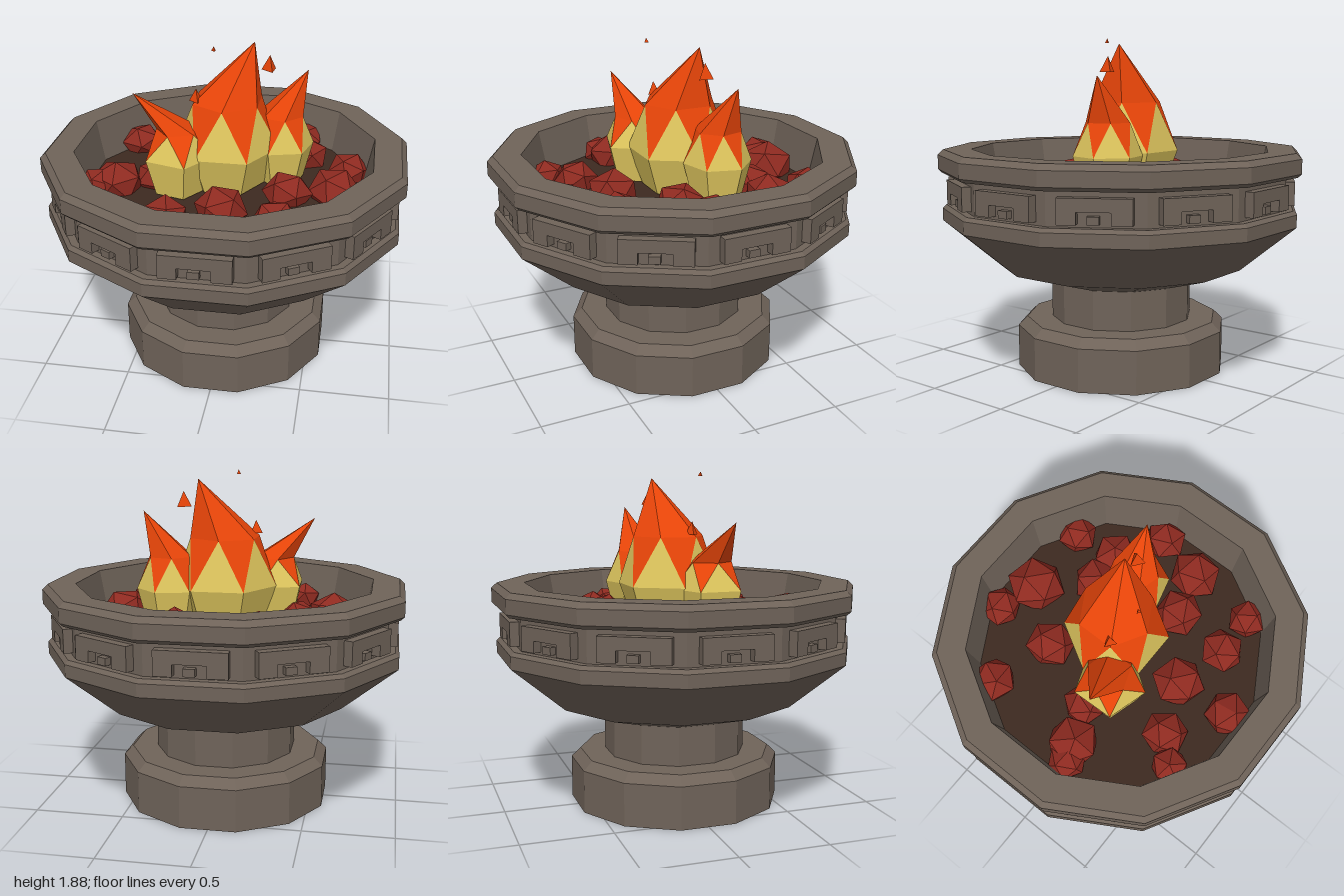
import * as THREE from 'three';

const mat = (name, color) => {
  const m = new THREE.MeshStandardMaterial({ color });
  m.name = name;
  return m;
};

// Facet a geometry so every face gets its own flat normal
function flat(geometry) {
  const g = geometry.index ? geometry.toNonIndexed() : geometry;
  g.computeVertexNormals();
  return g;
}

function add(parent, name, geometry, material) {
  const mesh = new THREE.Mesh(flat(geometry), material);
  mesh.name = name;
  parent.add(mesh);
  return mesh;
}

// Twelve-sided turned solid; radii are measured to the flats
const SIDES = 12;
function turned(profile) {
  const k = 1 / Math.cos(Math.PI / SIDES);
  const points = profile.map(([r, y]) => new THREE.Vector2(r * k, y));
  return new THREE.LatheGeometry(points, SIDES, Math.PI / SIDES);
}

function triangles(list) {
  const g = new THREE.BufferGeometry();
  g.setAttribute('position', new THREE.Float32BufferAttribute(list.flat(2), 3));
  return g;
}

// Faceted flame: yellow foot and zigzag, orange spike pointing down between the teeth
function addFlame(parent, { x, z, sides, rLow, rHigh, yLow, yHigh, apex, turn }, hot, cool) {
  const at = (i, r, y) => {
    const a = turn + (i * Math.PI * 2) / sides;
    return [x + r * Math.sin(a), y, z + r * Math.cos(a)];
  };
  const lower = [], upper = [];
  for (let i = 0; i < sides; i++) {
    const f0 = at(i - 0.5, rLow * 0.72, 1.03), f1 = at(i + 0.5, rLow * 0.72, 1.03);
    const l0 = at(i - 0.5, rLow, yLow), l1 = at(i + 0.5, rLow, yLow);
    const u0 = at(i, rHigh, yHigh), u1 = at(i + 1, rHigh, yHigh);
    lower.push([f0, f1, l1], [f0, l1, l0], [l0, l1, u0]);
    upper.push([u0, l1, u1], [u0, u1, apex]);
  }
  const flame = new THREE.Group();
  flame.name = 'flame';
  add(flame, 'flameBase', triangles(lower), hot);
  add(flame, 'flameTip', triangles(upper), cool);
  parent.add(flame);
}

export function createModel() {
  const root = new THREE.Group();
  root.name = 'firePit';
  const stone = mat('stone', 0x6f6359);
  const ash = mat('ash', 0x3d2a20);
  const coalRed = mat('coalRed', 0x8e2a20);
  const yellow = mat('flameYellow', 0xe4cb60);
  const orange = mat('flameOrange', 0xe84509);

  // Pedestal, bowl, groove and rim
  add(root, 'pedestal', turned([
    [0, 0], [0.58, 0], [0.58, 0.24], [0.53, 0.29], [0.39, 0.29], [0.39, 0.51],
  ]), stone);
  add(root, 'bowl', turned([
    [0.39, 0.51], [0.68, 0.6], [0.98, 0.86], [0.98, 0.93], [0.96, 0.95], [0.92, 0.95],
    [0.92, 1.13], [0.98, 1.13], [1, 1.15], [1, 1.23], [0.97, 1.26], [0.82, 1.26], [0.77, 1.0],
  ]), stone);
  add(root, 'ashBed', turned([[0.775, 1.02], [0, 1.02]]), ash);

  // Carved key-pattern plate on each side of the groove
  const plate = new THREE.Shape([
    [-0.185, 0.967], [-0.09, 0.967], [-0.09, 1.03], [0.08, 1.03], [0.08, 0.967],
    [0.185, 0.967], [0.185, 1.098], [-0.185, 1.098],
  ].map(([px, py]) => new THREE.Vector2(px, py)));
  const plateGeometry = new THREE.ExtrudeGeometry(plate, { depth: 0.06, bevelEnabled: false });
  plateGeometry.translate(0, 0, 0.91);
  const key = new THREE.BoxGeometry(0.06, 0.04, 0.05).translate(-0.01, 0.987, 0.93);
  for (let i = 0; i < SIDES; i++) {
    const panel = new THREE.Group();
    panel.name = 'carvedPanel';
    add(panel, 'panelArch', plateGeometry, stone);
    add(panel, 'panelKey', key, stone);
    panel.rotation.y = (i * Math.PI * 2) / SIDES;
    root.add(panel);
  }

  // Coals: x, z, radius
  const coals = [
    [-0.24, -0.69, 0.11], [-0.01, -0.62, 0.155], [0.39, -0.64, 0.11], [-0.6, -0.43, 0.12],
    [-0.24, -0.32, 0.13], [0.22, -0.36, 0.13], [0.42, -0.38, 0.125], [0.68, -0.21, 0.115],
    [0.61, 0.06, 0.14], [-0.6, 0.14, 0.14], [-0.7, 0.18, 0.1], [-0.4, 0.05, 0.11],
    [0.36, 0.13, 0.13], [0.03, 0.38, 0.14], [0.33, 0.46, 0.12], [0.57, 0.46, 0.105],
    [-0.25, 0.5, 0.12], [-0.38, 0.63, 0.1], [0.05, 0.7, 0.12],
  ];
  coals.forEach(([x, z, r], i) => {
    const lump = new THREE.IcosahedronGeometry(r, 0);
    lump.rotateX(i * 1.3).rotateZ(i * 0.7).scale(1.1, 0.9, 1.05);
    const coal = add(root, 'coal', lump, coalRed);
    coal.position.set(x, 1.06, z);
    coal.rotation.y = i * 2.1;
  });

  // Fire: tall centre flame and two leaning side flames
  addFlame(root, { x: 0, z: -0.035, sides: 6, rLow: 0.29, rHigh: 0.205, yLow: 1.25, yHigh: 1.52,
    apex: [0.14, 1.84, -0.09], turn: 0 }, yellow, orange);
  addFlame(root, { x: -0.25, z: 0.12, sides: 5, rLow: 0.2, rHigh: 0.12, yLow: 1.24, yHigh: 1.39,
    apex: [-0.48, 1.61, 0.18], turn: -0.28 }, yellow, orange);
  addFlame(root, { x: 0.29, z: -0.13, sides: 6, rLow: 0.19, rHigh: 0.13, yLow: 1.24, yHigh: 1.42,
    apex: [0.43, 1.67, -0.17], turn: 0.26 }, yellow, orange);

  // Sparks: x, y, z, radius
  for (const [x, y, z, r] of [
    [-0.045, 1.865, 0.14, 0.014], [0.225, 1.73, -0.08, 0.047], [-0.16, 1.57, 0.05, 0.04],
  ]) {
    const spark = add(root, 'spark', new THREE.ConeGeometry(r, r * 1.8, 3), orange);
    spark.position.set(x, y, z);
    spark.rotation.y = 0.4;
  }
  return root;
}
